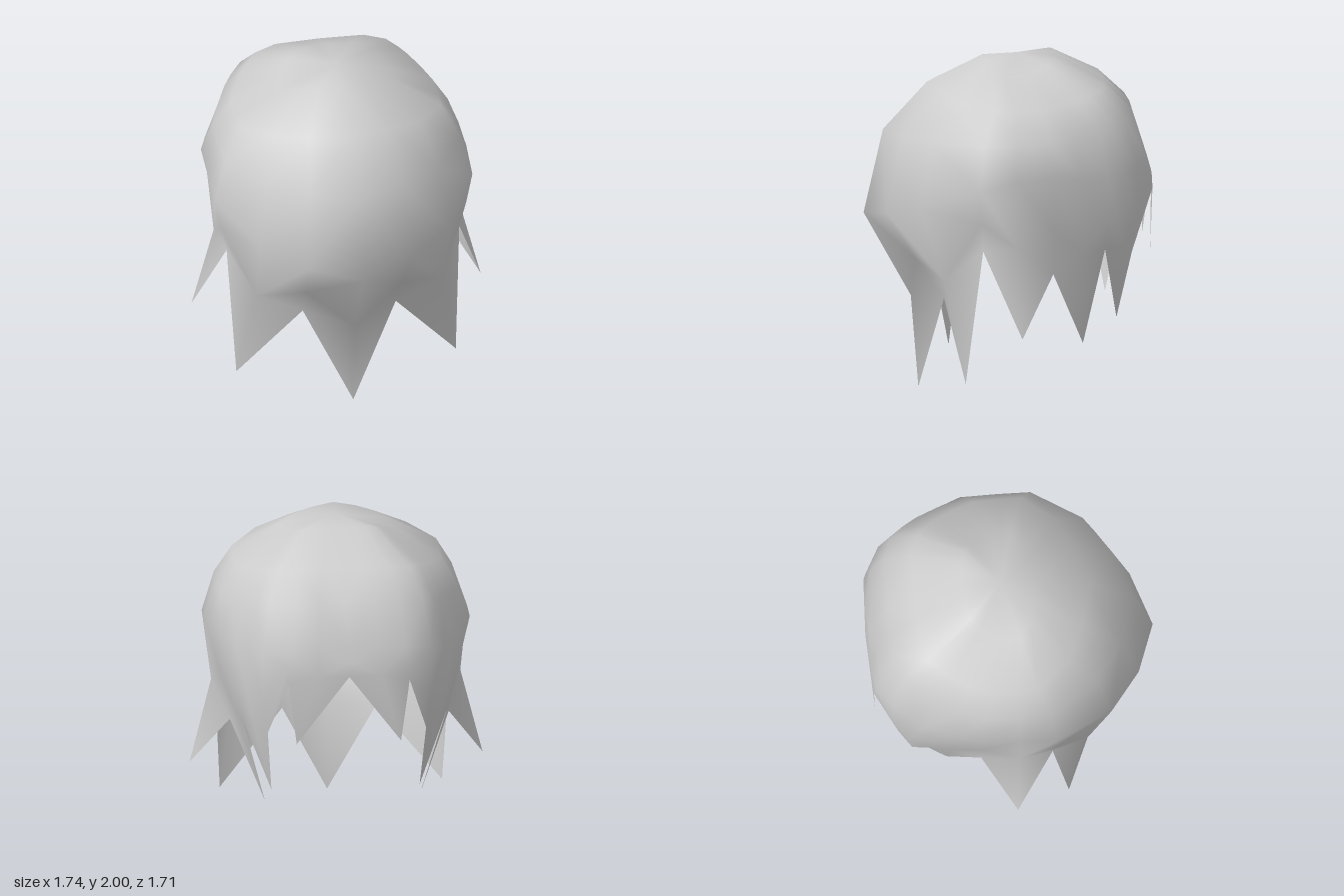
import * as THREE from 'three';

// Half outlines from the front centre, round the left side, to the back centre: [x, y, z]
const widest = [
  [0, 1.05, 0.855], [0.31, 1.1, 0.745], [0.57, 1.17, 0.56], [0.775, 1.3, 0.22],
  [0.78, 1.36, 0], [0.775, 1.38, -0.22], [0.72, 1.36, -0.38], [0.64, 1.36, -0.55],
  [0.58, 1.36, -0.64], [0.5, 1.4, -0.73], [0.34, 1.43, -0.79], [0.18, 1.45, -0.795], [0, 1.45, -0.8],
];
const lockBase = [
  [0, 0.55, 0.575], [0.29, 0.82, 0.57], [0.56, 0.73, 0.42], [0.74, 1.1, 0.21],
  [0.74, 0.95, 0], [0.7, 1.05, -0.22], [0.63, 0.9, -0.4], [0.64, 1.1, -0.55],
  [0.55, 0.92, -0.64], [0.5, 1.12, -0.73], [0.37, 1.32, -0.815], [0.19, 1.28, -0.84], [0, 1.36, -0.828],
];
const jaggedRim = [
  [0, 0, 0.53], [0.28, 0.58, 0.4], [0.66, 0.13, 0.3], [0.7, 0.93, 0.2],
  [0.87, 0.43, -0.02], [0.65, 0.78, -0.22], [0.46, 0.33, -0.41], [0.61, 0.92, -0.53],
  [0.44, 0.48, -0.61], [0.47, 0.88, -0.7], [0.36, 1.24, -0.83], [0.31, 0.85, -0.82], [0, 1.28, -0.85],
];
const tips = new Set([0, 2, 4, 6, 8, 11]);

// Dome rings: the widest outline shrunk, with height blended between front, side and back
const domeRing = ({ front, side, back }) => widest.map(([x, , z]) => {
  const end = z > 0 ? front : back;
  const t = z > 0 ? z / 0.855 : -z / 0.8;
  return [x / 0.78 * side[0], side[1] + (end[1] - side[1]) * t * t, t * end[0]];
});
const dome = [
  { front: [0.16, 1.985], side: [0.33, 1.91], back: [-0.27, 2.0] },
  { front: [0.48, 1.83], side: [0.61, 1.74], back: [-0.56, 1.85] },
  { front: [0.74, 1.55], side: [0.71, 1.56], back: [-0.72, 1.7] },
].map(domeRing);

// Complete a half outline with its mirror image
const mirror = (half) => [
  ...half,
  ...half.slice(1, -1).reverse().map(([x, y, z]) => [-x, y, z]),
];

function hairGeometry() {
  const rings = [...dome, widest, lockBase, jaggedRim].map(mirror);
  const n = rings[0].length;
  const positions = [0, 2, -0.05, ...rings.flat(2)];
  const index = [];
  const at = (row, col) => 1 + row * n + (col % n);

  // Crown fan
  for (let j = 0; j < n; j++) index.push(0, at(0, j), at(0, j + 1));

  // Bands between rings; the lowest band folds along each pointed lock
  for (let r = 0; r < rings.length - 1; r++) {
    const lowest = r === rings.length - 2;
    for (let j = 0; j < n; j++) {
      const a = at(r, j), b = at(r + 1, j), c = at(r + 1, j + 1), d = at(r, j + 1);
      const column = j <= n / 2 ? j : n - j;
      const fromUpper = lowest ? tips.has(column) : j < n / 2;
      if (fromUpper) index.push(a, b, c, a, c, d);
      else index.push(a, b, d, b, c, d);
    }
  }
  const geometry = new THREE.BufferGeometry();
  geometry.setAttribute('position', new THREE.Float32BufferAttribute(positions, 3));
  geometry.setIndex(index);
  geometry.computeVertexNormals();
  return geometry;
}

export function createModel() {
  const grey = new THREE.MeshStandardMaterial({ color: 0xcccccc, side: THREE.DoubleSide });
  grey.name = 'light grey';

  // Open hair shell with pointed locks
  const hair = new THREE.Mesh(hairGeometry(), grey);
  hair.name = 'hair';

  const model = new THREE.Group();
  model.name = 'hairpiece';
  model.add(hair);
  return model;
}
